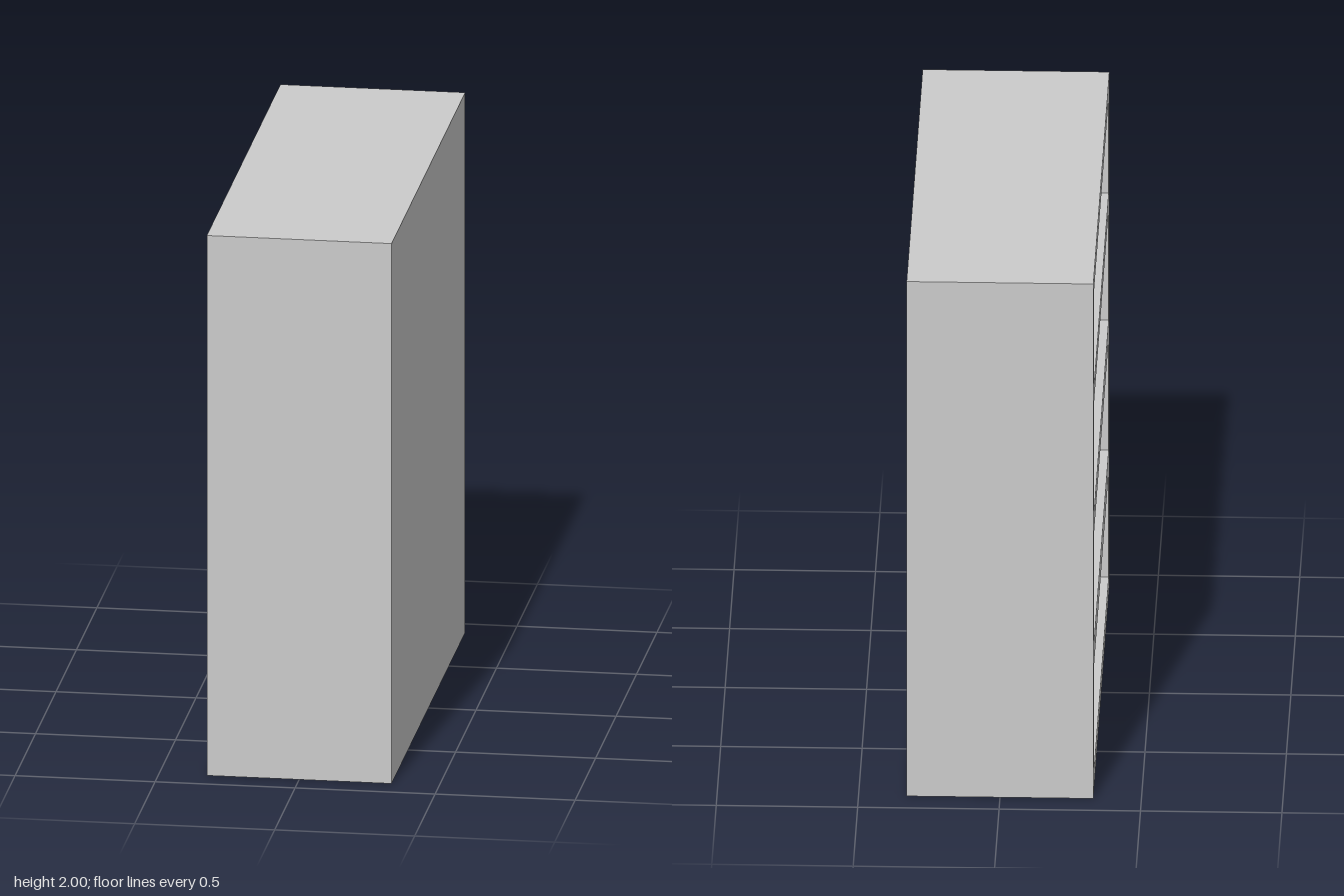
import * as THREE from 'three';

const WIDTH = 0.66, HEIGHT = 2, LENGTH = 1.8;
const SIDE = 0.075, BACK = 0.07;

// Bottom and top of each open compartment
const COMPARTMENTS = [[0.07, 0.48], [0.565, 0.995], [1.07, 1.5], [1.563, 1.935]];

function rectangle(PathType, halfWidth, bottom, top) {
  return new PathType([
    new THREE.Vector2(-halfWidth, bottom),
    new THREE.Vector2(halfWidth, bottom),
    new THREE.Vector2(halfWidth, top),
    new THREE.Vector2(-halfWidth, top),
  ]);
}

export function createModel() {
  const group = new THREE.Group();
  group.name = 'bookcase';
  const material = new THREE.MeshStandardMaterial({ color: 0xcccccc });

  // Sides, top, bottom and shelves as one solid, open towards -x
  const outline = rectangle(THREE.Shape, LENGTH / 2, 0, HEIGHT);
  for (const [bottom, top] of COMPARTMENTS) {
    outline.holes.push(rectangle(THREE.Path, LENGTH / 2 - SIDE, bottom, top));
  }
  const frameGeometry = new THREE.ExtrudeGeometry(outline, { depth: WIDTH - BACK, bevelEnabled: false });
  frameGeometry.rotateY(Math.PI / 2);
  frameGeometry.translate(-WIDTH / 2, 0, 0);
  const frame = new THREE.Mesh(frameGeometry, material);
  frame.name = 'shelfFrame';
  group.add(frame);

  // Closed panel behind the shelves
  const panel = new THREE.Mesh(new THREE.BoxGeometry(BACK, HEIGHT, LENGTH), material);
  panel.name = 'backPanel';
  panel.position.set((WIDTH - BACK) / 2, HEIGHT / 2, 0);
  group.add(panel);

  return group;
}
